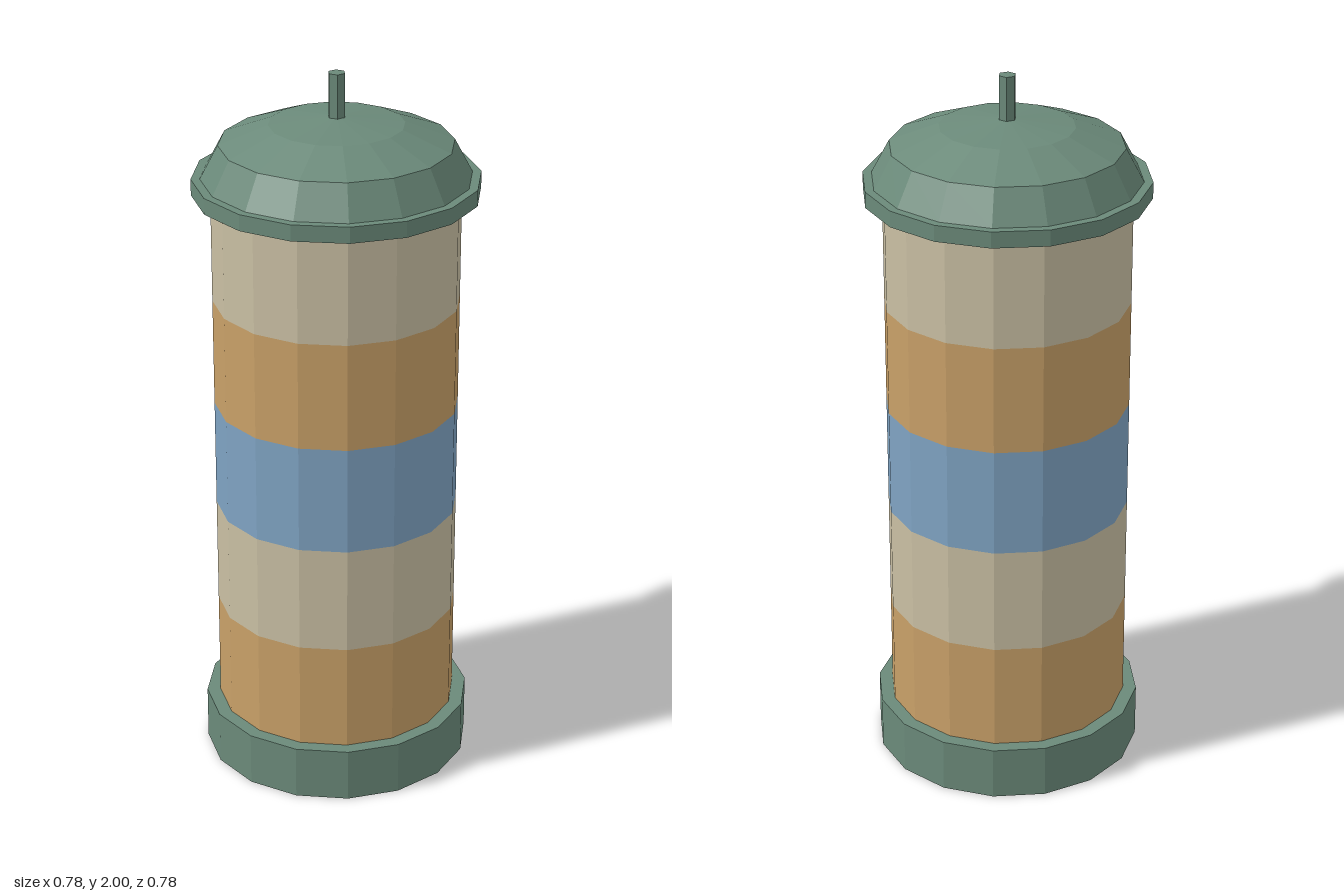
import * as THREE from 'three';

const SIDES = 16;

export function createModel() {
  const model = new THREE.Group();
  model.name = 'lantern';

  const paint = (name, color) => {
    const m = new THREE.MeshStandardMaterial({ color, flatShading: true });
    m.name = name;
    return m;
  };
  const green = paint('dull green', 0x6b8a7a);
  const ochre = paint('ochre', 0xc8a068);
  const cream = paint('cream', 0xc9bfa3);
  const blue = paint('soft blue', 0x7fa3c2);

  const add = (name, geometry, material, y = 0) => {
    const mesh = new THREE.Mesh(geometry, material);
    mesh.name = name;
    mesh.position.y = y;
    model.add(mesh);
  };
  // Upright prism between two heights
  const drum = (name, radius, y0, y1, material, sides = SIDES, open = false) =>
    add(name, new THREE.CylinderGeometry(radius, radius, y1 - y0, sides, 1, open), material, (y0 + y1) / 2);

  // Base
  drum('base', 0.375, 0, 0.152, green);

  // Striped body, bottom to top
  const edges = [0.152, 0.457, 0.76, 1.064, 1.367, 1.671];
  [ochre, cream, blue, ochre, cream].forEach((material, i) =>
    drum(`bodyBand${i + 1}`, 0.337, edges[i], edges[i + 1], material, SIDES, true));

  // Lid: rim, faceted dome and hexagonal pin
  drum('lidRim', 0.388, 1.671, 1.716, green);
  const profile = [[0.364, 1.716], [0.315, 1.808], [0.182, 1.86], [0, 1.882]]
    .map(([r, y]) => new THREE.Vector2(r, y));
  add('lidDome', new THREE.LatheGeometry(profile, SIDES), green);
  drum('topPin', 0.024, 1.86, 2, green, 6);

  return model;
}
